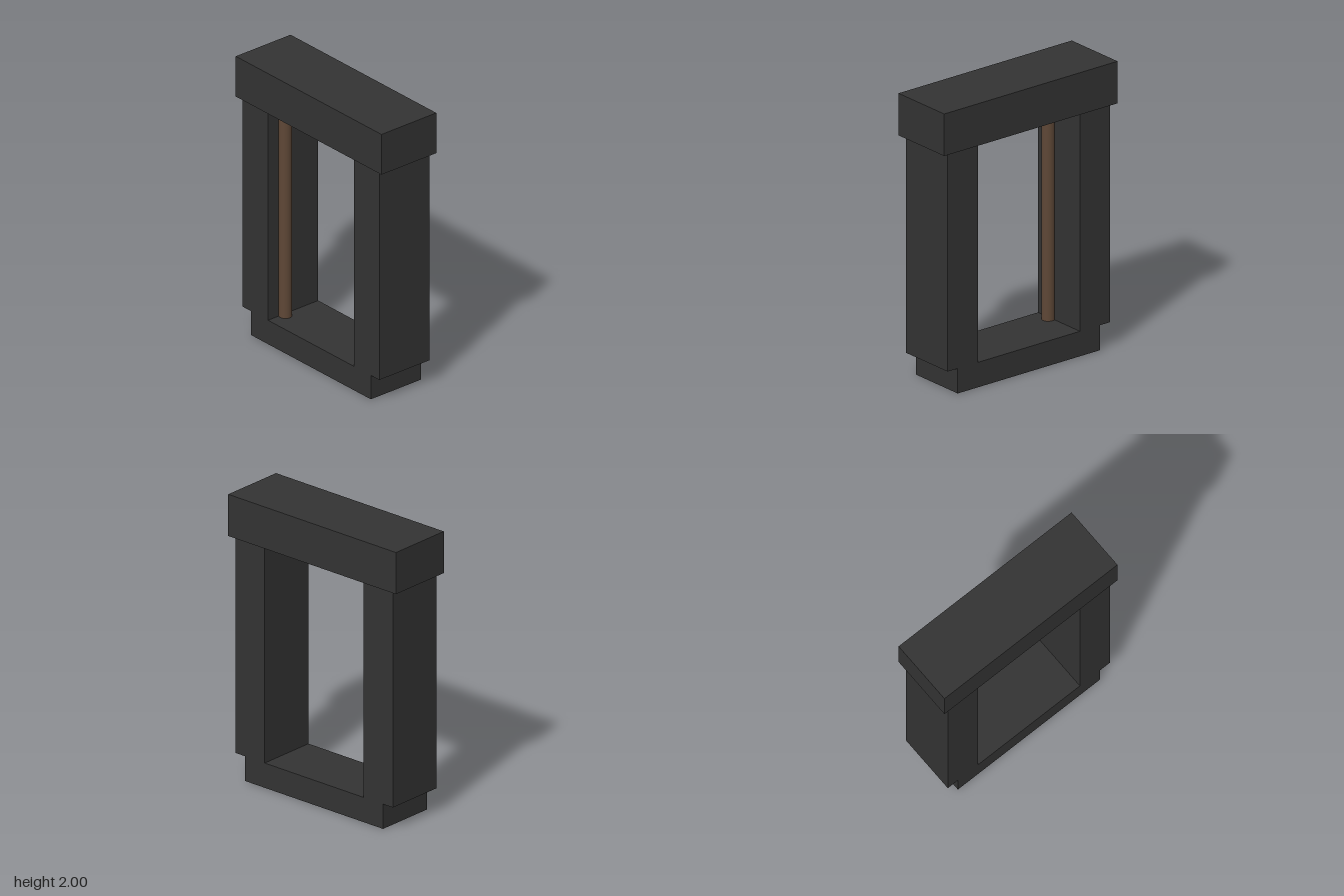
import * as THREE from 'three';

const stone = new THREE.MeshStandardMaterial({ color: 0x333333 });
const wood = new THREE.MeshStandardMaterial({ color: 0x5e4736 });

function addPart(group, name, geometry, material, x, y, z) {
  const mesh = new THREE.Mesh(geometry, material);
  mesh.name = name;
  mesh.position.set(x, y, z);
  group.add(mesh);
}

export function createModel() {
  const group = new THREE.Group();
  group.name = 'doorFrame';

  const sillTop = 0.175, lintelBottom = 1.705, depth = 0.43;

  // Sill and both posts form one flush U-shaped frame
  const half = [[0.6, 0], [0.6, sillTop], [0.685, sillTop], [0.685, lintelBottom],
    [0.43, lintelBottom], [0.43, sillTop]];
  const mirrored = half.map(([x, y]) => [-x, y]).reverse();
  const outline = [...half, ...mirrored].map(([x, y]) => new THREE.Vector2(x, y));
  const frame = new THREE.ExtrudeGeometry(new THREE.Shape(outline), { depth, bevelEnabled: false });
  addPart(group, 'sillAndPosts', frame, stone, 0, 0, -depth / 2);

  // Overhanging lintel
  const lintelHeight = 2 - lintelBottom;
  addPart(group, 'lintel', new THREE.BoxGeometry(1.46, lintelHeight, 0.47), stone,
    0, lintelBottom + lintelHeight / 2, 0);

  // Upright pivot pole beside the right post
  const poleHeight = lintelBottom - sillTop;
  addPart(group, 'pivotPole', new THREE.CylinderGeometry(0.044, 0.044, poleHeight, 24), wood,
    -0.408, sillTop + poleHeight / 2, 0.085);

  return group;
}
